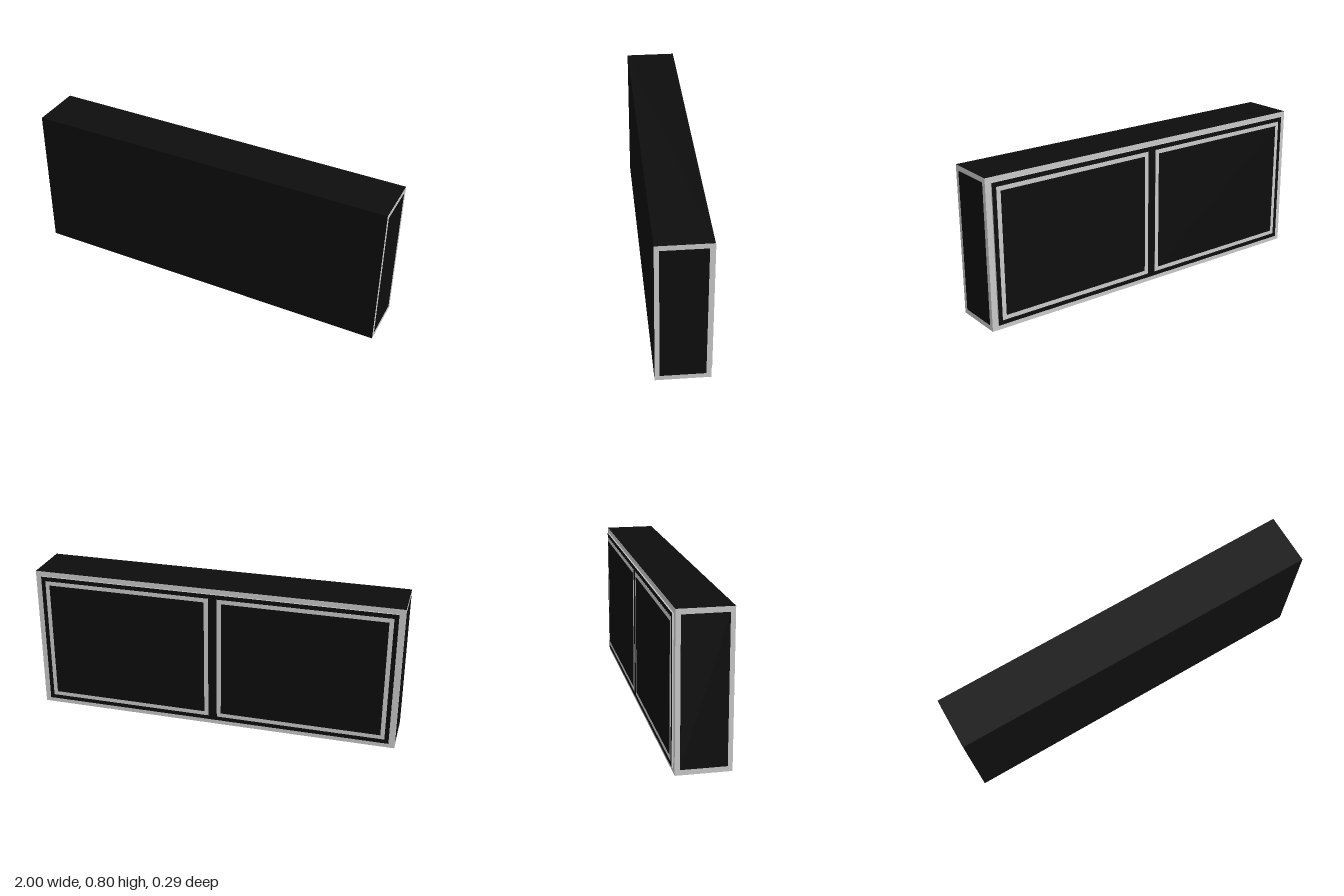
import * as THREE from 'three';

const black = new THREE.MeshStandardMaterial({ color: 0x0d0d0d });
black.name = 'black';
const grey = new THREE.MeshStandardMaterial({ color: 0xc9c9c9 });
grey.name = 'light grey';

// Box given by its min and max corners
function box(name, min, max, material) {
  const size = max.map((v, i) => v - min[i]);
  const mesh = new THREE.Mesh(new THREE.BoxGeometry(...size), material);
  mesh.position.set(...max.map((v, i) => (v + min[i]) / 2));
  mesh.name = name;
  return mesh;
}

export function createModel() {
  const model = new THREE.Group();
  model.name = 'cabinet';

  // Black shell with bare grey ends and back (order: +x, -x, +y, -y, +z, -z)
  model.add(box('body', [-0.999, 0, -0.134], [0.999, 0.8, 0.143],
    [grey, grey, black, black, black, grey]));

  // Black inlay on each end
  for (const s of [-1, 1]) {
    const x = [s * 0.998, s * 1].sort((a, b) => a - b);
    model.add(box(s > 0 ? 'leftEndPanel' : 'rightEndPanel',
      [x[0], 0.027, -0.109], [x[1], 0.773, 0.119], black));
  }

  // Raised back board, grey edges and black face
  model.add(box('backBoard', [-0.967, 0.027, -0.1415], [0.967, 0.772, -0.134],
    [grey, grey, grey, grey, grey, black]));

  // Two framed panels on the back board
  for (const s of [-1, 1]) {
    const side = s > 0 ? 'left' : 'right';
    const span = (a, b) => [s * a, s * b].sort((p, q) => p - q);
    const [f0, f1] = span(0.024, 0.944);
    const [p0, p1] = span(0.047, 0.921);
    model.add(box(side + 'BackFrame', [f0, 0.05, -0.1423], [f1, 0.748, -0.141], grey));
    model.add(box(side + 'BackPanel', [p0, 0.073, -0.143], [p1, 0.725, -0.142], black));
  }

  return model;
}
